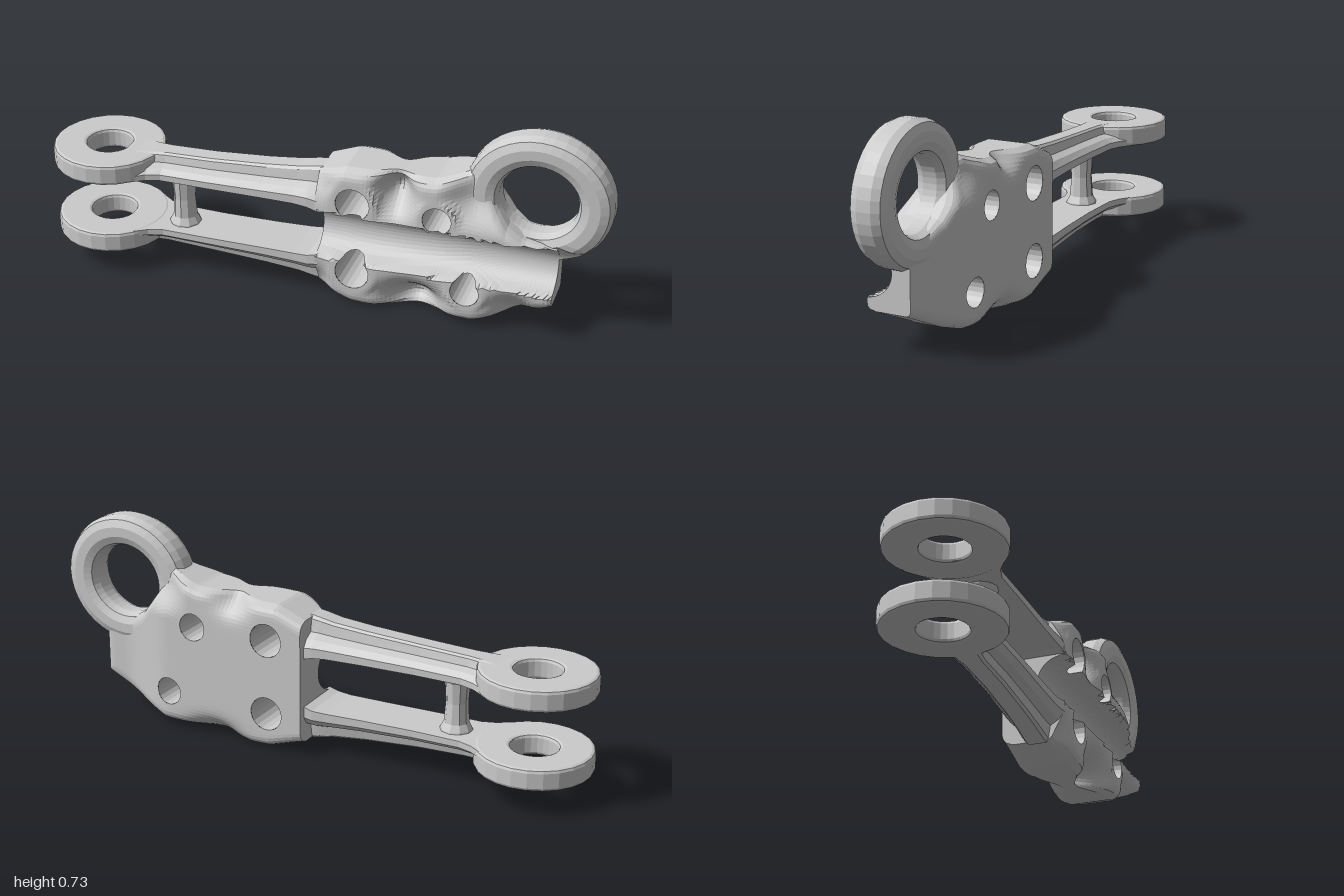
import * as THREE from 'three';

const { lerp, smoothstep } = THREE.MathUtils;
const mat = new THREE.MeshStandardMaterial({ color: 0xcccccc, flatShading: true });

// piecewise linear lookup in [x, value] pairs
function curve(pts, x) {
  for (let i = 1; i < pts.length; i++) {
    const [a, va] = pts[i - 1], [b, vb] = pts[i];
    if (x <= b) return lerp(va, vb, Math.max(0, (x - a) / (b - a)));
  }
  return pts[pts.length - 1][1];
}

// ---- clamp body surfaces ----
const X1 = 0.83;
const TOP = [[0, 0.49], [0.05, 0.51], [0.1, 0.53], [0.3, 0.535], [0.42, 0.545], [0.5, 0.57], [0.54, 0.585], [0.575, 0.53], [0.62, 0.455], [0.66, 0.405], [0.72, 0.365], [X1, 0.345]];
const BOTTOM = [[0, 0.045], [0.05, 0.03], [0.13, 0.004], [0.2, 0], [0.4, 0.012], [0.56, 0.02], [0.65, 0.05], [X1, 0.135]];
const HOLES = [[0.135, 0.405, 0.06], [0.43, 0.4, 0.05], [0.135, 0.135, 0.06], [0.535, 0.14, 0.05]];
// scoops between the bosses: x, y, width, height, depth
const FRONT_DIPS = [[0.28, 0.47, 0.055, 0.07, 0.11], [0.35, 0.05, 0.09, 0.065, 0.12], [0.7, 0.08, 0.07, 0.06, 0.07], [0, 0.48, 0.05, 0.06, 0.04], [0, 0.06, 0.05, 0.06, 0.04]];
const BACK_DIPS = [[0.28, 0.53, 0.06, 0.05, 0.07], [0.35, 0, 0.09, 0.05, 0.07]];

const dip = (list, x, y) => list.reduce((s, [cx, cy, w, h, d]) =>
  s + d * Math.exp(-(((x - cx) / w) ** 2) - ((y - cy) / h) ** 2), 0);

// round channel running along x
function groove(y) {
  const d = Math.abs(y - 0.265) / 0.088;
  return d < 1 ? 0.09 - 0.1 * Math.sqrt(1 - d * d) : 0.09;
}

// rounded outer rim, pulling both faces towards the middle
function rim(x, y, z) {
  const t = Math.min(y - curve(BOTTOM, x), curve(TOP, x) - y, X1 + 0.015 - x);
  const u = 1 - Math.min(1, Math.max(0, t / 0.045));
  return -0.025 + (z + 0.025) * (0.65 + 0.35 * Math.sqrt(1 - u * u));
}

function boss(x, y) {
  return Math.max(...HOLES.map(([cx, cy, r]) =>
    1 - smoothstep(Math.hypot(x - cx, y - cy), r * 1.2, r * 1.75)));
}

function frontZ(x, y) {
  let z = 0.09 - dip(FRONT_DIPS, x, y);
  z = lerp(z, 0.035, smoothstep(x, 0.42, 0.56) * smoothstep(y, 0.37, 0.5));
  z = lerp(z, 0.09, boss(x, y));
  return Math.min(rim(x, y, z), groove(y));
}

function backZ(x, y) {
  let z = -0.14 + dip(BACK_DIPS, x, y) + 0.06 * smoothstep(x, 0.53, 0.76);
  z = lerp(z, -0.08, smoothstep(x, 0.44, 0.58) * smoothstep(y, 0.42, 0.54));
  return rim(x, y, z);
}

function indexed(pos, idx) {
  const g = new THREE.BufferGeometry();
  g.setAttribute('position', new THREE.Float32BufferAttribute(pos, 3));
  g.setIndex(idx);
  g.computeVertexNormals();
  return g;
}

function bodyGeometry() {
  const NX = 64, NY = 42, pos = [], idx = [], cut = [];
  const F = (i, j) => 2 * (i * (NY + 1) + j), B = (i, j) => F(i, j) + 1;
  const quad = (a, b, c, d) => idx.push(a, b, c, a, c, d);
  for (let i = 0; i <= NX; i++) for (let j = 0; j <= NY; j++) {
    let x = (X1 * i) / NX, y = lerp(curve(BOTTOM, x), curve(TOP, x), j / NY), inside = false;
    // push points off the bolt holes onto their edges
    for (const [cx, cy, r] of HOLES) {
      if (Math.hypot(x - cx, y - cy) < r) {
        const a = Math.atan2(y - cy, x - cx);
        x = cx + r * Math.cos(a);
        y = cy + r * Math.sin(a);
        inside = true;
        break;
      }
    }
    cut.push(inside);
    pos.push(x, y, frontZ(x, y), x, y, backZ(x, y));
  }
  for (let i = 0; i < NX; i++) for (let j = 0; j < NY; j++) {
    if ([F(i, j), F(i + 1, j), F(i + 1, j + 1), F(i, j + 1)].every(k => cut[k / 2])) continue;
    quad(F(i, j), F(i + 1, j), F(i + 1, j + 1), F(i, j + 1));
    quad(B(i, j), B(i, j + 1), B(i + 1, j + 1), B(i + 1, j));
  }
  // close the outer edge
  for (let i = 0; i < NX; i++) {
    quad(B(i, 0), B(i + 1, 0), F(i + 1, 0), F(i, 0));
    quad(F(i, NY), F(i + 1, NY), B(i + 1, NY), B(i, NY));
  }
  for (let j = 0; j < NY; j++) {
    quad(B(0, j), F(0, j), F(0, j + 1), B(0, j + 1));
    quad(F(NX, j), B(NX, j), B(NX, j + 1), F(NX, j + 1));
  }
  return indexed(pos, idx);
}

// wall of a bolt hole, trimmed to the body's two faces
function holeWall([cx, cy, r]) {
  const g = new THREE.CylinderGeometry(r, r, 1, 20, 1, true).rotateX(Math.PI / 2).translate(cx, cy, 0);
  const p = g.attributes.position;
  for (let i = 0; i < p.count; i++) {
    const x = p.getX(i), y = p.getY(i);
    p.setZ(i, p.getZ(i) > 0 ? frontZ(x, y) : backZ(x, y));
  }
  return g;
}

// closed ring with chamfered edges, turned about y
function ringGeometry(r0, r1, y0, y1, c, segs) {
  const k = c * 0.3;
  const pts = [[r0, y0 + c], [r0 + k, y0 + k], [r0 + c, y0], [r1 - c, y0], [r1 - k, y0 + k], [r1, y0 + c],
    [r1, y1 - c], [r1 - k, y1 - k], [r1 - c, y1], [r0 + c, y1], [r0 + k, y1 - k], [r0, y1 - c], [r0, y0 + c]];
  return new THREE.LatheGeometry(pts.map(p => new THREE.Vector2(...p)), segs);
}

// lifting eye, cut away where the channel passes below it
function eyeGeometry() {
  const g = ringGeometry(0.125, 0.235, -0.085, 0.04, 0.038, 40).rotateX(Math.PI / 2);
  g.scale(1.065, 1, 1).translate(0.75, 0.5, 0);
  const p = g.attributes.position;
  for (let i = 0; i < p.count; i++) p.setZ(i, Math.min(p.getZ(i), groove(p.getY(i)) - 0.003));
  g.computeVertexNormals();
  return g;
}

// ribbed arm; y is measured from the mid plane. Stations: x, inner y, outer y, half width
function armGeometry(zShift) {
  const stations = [[-0.72, 0.103, 0.172, 0.165], [-0.66, 0.1, 0.175, 0.135], [-0.62, 0.1, 0.178, 0.108], [-0.57, 0.1, 0.18, 0.092],
    [-0.4, 0.1, 0.187, 0.09], [-0.2, 0.1, 0.2, 0.092], [-0.08, 0.1, 0.212, 0.096], [-0.03, 0.097, 0.222, 0.1], [0.008, 0.086, 0.228, 0.1]];
  const half = [[1, 0], [1, 0.28], [0.8, 0.48], [0.5, 0.6], [0.42, 0.92], [0.32, 1]];
  const section = [...half, ...half.map(([z, t]) => [-z, t]).reverse()];
  const n = section.length, pos = [], idx = [];
  for (const [x, a, b, w] of stations) for (const [z, t] of section)
    pos.push(x, lerp(a, b, t), z * w + zShift * smoothstep(x, -0.4, 0));
  for (let i = 0; i < stations.length - 1; i++) for (let k = 0; k < n; k++) {
    const a = i * n + k, b = i * n + ((k + 1) % n);
    idx.push(a, b + n, b, a, a + n, b + n);
  }
  return indexed(pos, idx);
}

export function createModel() {
  const model = new THREE.Group();
  const add = (name, geo, parent = model, m = mat) => {
    const mesh = new THREE.Mesh(geo, m);
    mesh.name = name;
    parent.add(mesh);
    return mesh;
  };

  // clamp body with channel and bolt holes
  add('clampBody', bodyGeometry());
  const wallMat = mat.clone();
  wallMat.side = THREE.BackSide;
  HOLES.forEach(h => add('boltHoleWall', holeWall(h), model, wallMat));
  add('liftingEye', eyeGeometry());

  // upper and lower fork arms, each ending in a pin eye
  for (const s of [1, -1]) {
    const arm = new THREE.Group();
    arm.name = s > 0 ? 'upperForkArm' : 'lowerForkArm';
    arm.position.y = 0.267;
    if (s < 0) arm.rotation.x = Math.PI;
    add('armBeam', armGeometry(-0.014 * s), arm);
    add('pinEye', ringGeometry(0.08, 0.2, 0.098, 0.174, 0.012, 24), arm).position.x = -0.8;
    model.add(arm);
  }

  // post joining the arms
  const post = [[0.06, 0.155], [0.055, 0.172], [0.043, 0.195], [0.038, 0.267], [0.043, 0.34], [0.055, 0.362], [0.06, 0.38]];
  add('crossPost', new THREE.LatheGeometry(post.map(q => new THREE.Vector2(...q)), 10)).position.x = -0.52;
  return model;
}
